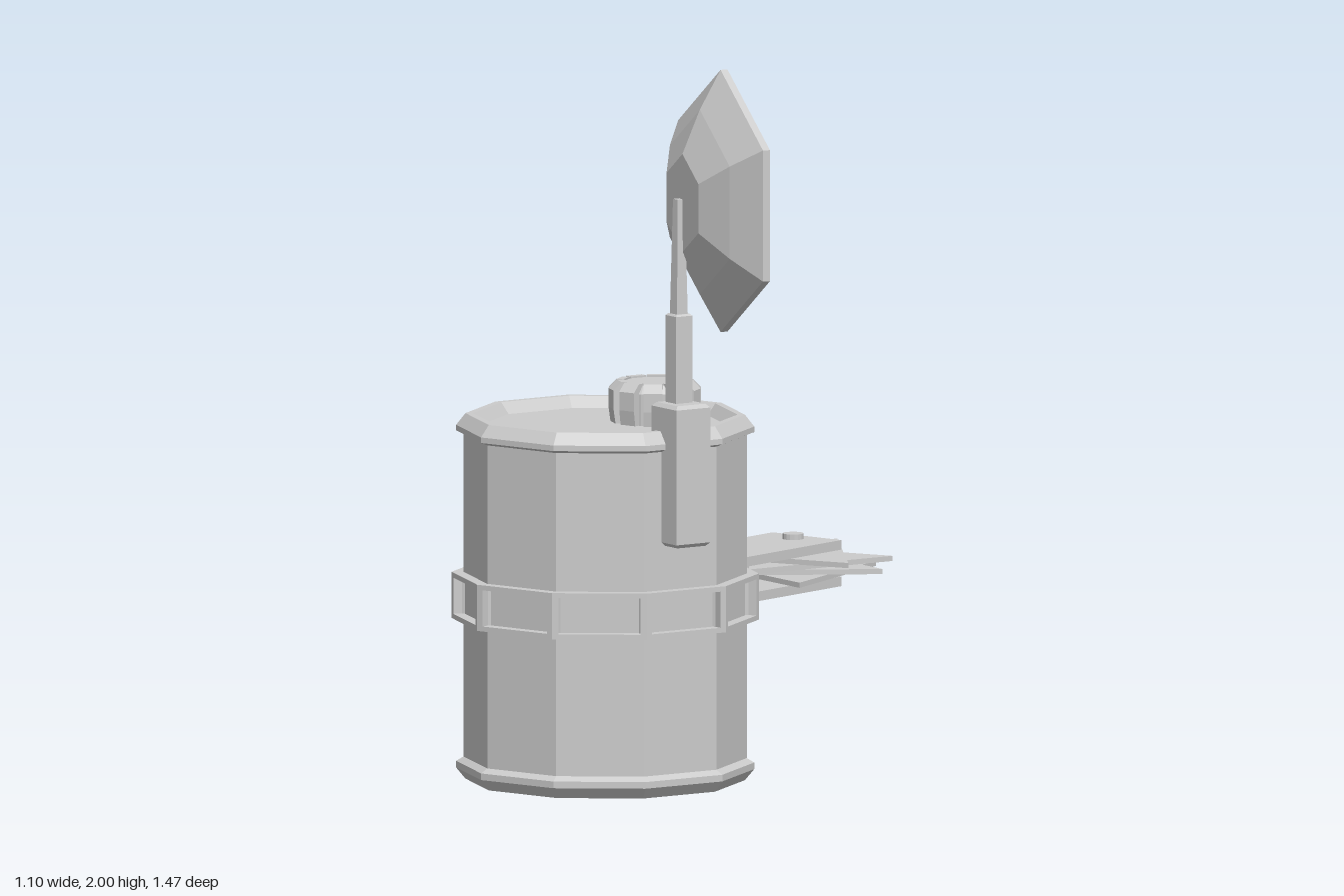
import * as THREE from 'three';

const BX = -0.145, BZ = 0.343; // barrel axis
const DEG = Math.PI / 180;

export function createModel() {
  const model = new THREE.Group();
  const mat = new THREE.MeshStandardMaterial({ color: 0xcccccc, flatShading: true });

  const add = (name, geo, x = 0, y = 0, z = 0, ry = 0, parent = model) => {
    const mesh = new THREE.Mesh(geo, mat);
    mesh.name = name;
    mesh.position.set(x, y, z);
    mesh.rotation.y = ry;
    parent.add(mesh);
    return mesh;
  };
  const group = (name, x, y, z) => {
    const g = new THREE.Group();
    g.name = name;
    g.position.set(x, y, z);
    model.add(g);
    return g;
  };
  const vecs = (pts) => pts.map(([x, y]) => new THREE.Vector2(x, y));
  const lathe = (pts, sides, start = 0) => new THREE.LatheGeometry(vecs(pts), sides, start);
  const extrude = (shape, depth) => new THREE.ExtrudeGeometry(shape, { depth, bevelEnabled: false });

  // Box with its edges chamfered by b, standing on y = 0
  const chamferBox = (w, h, d, b) => {
    const x = w / 2 - b, z = d / 2 - b;
    const geo = new THREE.ExtrudeGeometry(
      new THREE.Shape(vecs([[-x, -z], [x, -z], [x, z], [-x, z]])),
      { depth: h - 2 * b, bevelEnabled: true, bevelThickness: b, bevelSize: b, bevelSegments: 1 });
    return geo.rotateX(-Math.PI / 2).translate(0, b, 0);
  };

  // Ten-sided barrel with flared rims and sunken ends
  add('barrel', lathe([
    [0, 0.06], [0.33, 0.06], [0.355, 0.04], [0.375, 0.04], [0.4, 0.07], [0.4, 0.088],
    [0.38, 0.1], [0.38, 0.975], [0.4, 0.983], [0.4, 0.998], [0.375, 1.03], [0.355, 1.03],
    [0.33, 1.0], [0, 1.0]], 10, Math.PI / 2), BX, 0, BZ);

  // Knob under the barrel
  add('bottomKnob', lathe([[0, 0], [0.035, 0], [0.06, 0.02], [0.07, 0.045], [0.07, 0.07]], 10), BX, 0, BZ);

  // Belt of framed panels; the two beside the arm end in a point
  const belt = group('belt', BX, 0.5375, BZ);
  const outline = (w, h, tip) => tip
    ? vecs([[-w, -h], [w - tip, -h], [w, 0], [w - tip, h], [-w, h]])
    : vecs([[-w, -h], [w, -h], [w, h], [-w, h]]);
  for (let k = 0; k < 10; k++) {
    if (k === 5) continue;
    const tip = k === 4 || k === 6 ? 0.055 : 0;
    const frame = new THREE.Shape(outline(0.1275, 0.0625, tip));
    frame.holes.push(new THREE.Path(outline(0.11, 0.049, tip * 0.85)));
    const geo = extrude(frame, 0.04).translate(0, 0, 0.352);
    // turn the mirrored pointed frame upside down, so it points the other way
    if (k === 6) geo.rotateZ(Math.PI);
    add('beltFrame', geo, 0, 0, 0, k * 36 * DEG, belt);
  }

  // Filler cap with ten grips
  const cap = group('cap', -0.09, 0, 0.198);
  add('capCore', lathe([[0.105, 0.99], [0.105, 1.085], [0.088, 1.107], [0, 1.107]], 20), 0, 0, 0, 0, cap);
  const grip = new THREE.Shape(vecs([
    [0.08, 0.99], [0.115, 0.99], [0.122, 1.04], [0.122, 1.09], [0.1, 1.112], [0.08, 1.112]]));
  const gripGeo = extrude(grip, 0.05).translate(0, 0, -0.025);
  for (let k = 0; k < 10; k++) add('capGrip', gripGeo, 0, 0, 0, (90 + k * 36) * DEG, cap);

  // Arm at the back: flared neck, web and two plates
  const arm = group('arm', BX, 0.5375, 0);
  const neck = new THREE.BoxGeometry(2, 2, 0.1).translate(0, 0, -0.04);
  const p = neck.attributes.position;
  for (let i = 0; i < p.count; i++) {
    const atBarrel = p.getZ(i) > -0.04;
    p.setX(i, p.getX(i) * (atBarrel ? 0.152 : 0.1175));
    p.setY(i, p.getY(i) * (atBarrel ? 0.145 : 0.0625));
  }
  add('armNeck', neck, 0, 0, 0, 0, arm);
  add('armWeb', new THREE.BoxGeometry(0.235, 0.125, 0.04), 0, 0, -0.11, 0, arm);
  for (const s of [-1, 1])
    add('armPlate', new THREE.BoxGeometry(0.235, 0.026, 0.44), 0, s * 0.0495, -0.31, 0, arm);
  add('bladePin', new THREE.CylinderGeometry(0.028, 0.028, 0.155, 16), 0, 0, -0.47, 0, arm);

  // Saw made of four stacked triangular blades
  [[0.552, 18], [0.537, 78], [0.521, 108], [0.505, 48]].forEach(([y, turn]) => {
    const tips = [0, 1, 2].map((i) => {
      const a = -(turn + i * 120) * DEG;
      return [0.267 * Math.cos(a), 0.267 * Math.sin(a)];
    });
    const order = [tips[0], tips[2], tips[1]];
    const geo = extrude(new THREE.Shape(vecs(order)), 0.014).rotateX(-Math.PI / 2);
    add('sawBlade', geo, 0, y - 0.5375, -0.47, 0, arm);
  });

  // Antenna mast on the side of the barrel
  const turn = -18 * DEG;
  add('mastBase', chamferBox(0.12, 0.385, 0.11, 0.01), 0.208, 0.72, 0.462, turn);
  add('mastSleeve', chamferBox(0.052, 0.26, 0.052, 0.005), 0.195, 1.085, 0.455, turn);
  const rod = new THREE.CylinderGeometry(0.016, 0.025, 0.33, 4, 1).rotateY(Math.PI / 4);
  add('mastRod', rod, 0.195, 1.49, 0.455, turn);

  // Six-sided hollow dish
  const dish = lathe([
    [0, 0.112], [0.128, 0.112], [0.242, 0.063], [0.343, 0], [0.355, 0], [0.355, 0.02],
    [0.25, 0.08], [0.133, 0.13], [0, 0.13]], 6).rotateX(Math.PI / 2);
  add('dish', dish, 0.272, 1.645, 0.342, -30 * DEG);

  return model;
}
